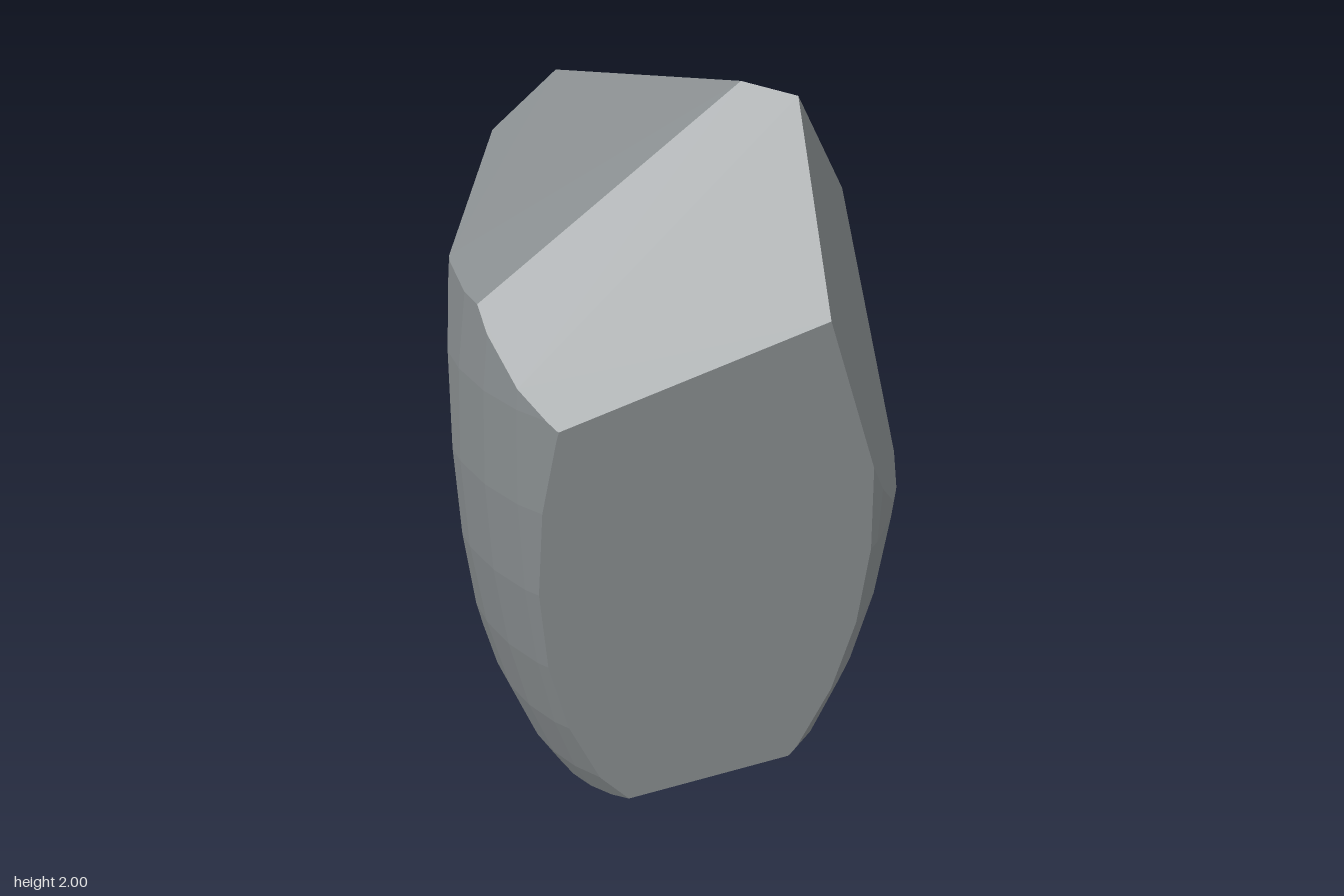
import * as THREE from 'three';

const V = (x, y, z) => new THREE.Vector3(x, y, z);

// Corners where the flat cuts of the boulder meet
const peak = V(0.10, 2.0, -0.07), peakRight = V(0.25, 1.98, -0.10);
const topLeft = V(-0.405, 1.89, -0.11), leftShoulder = V(-0.50, 1.775, 0.04);
const frontLeft = V(-0.445, 1.61, 0.335), frontMid = V(-0.04, 1.35, 0.555);
const rightShoulder = V(0.465, 1.58, 0.165), backRight = V(0.21, 1.54, -0.465);
const rightMid = V(0.545, 1.07, 0.03);
const backLeft = V(-0.26, 1.37, -0.56), leftBack = V(-0.545, 1.24, -0.32);
const leftFront = V(-0.41, 0.83, 0.43);
const baseFront = V(0.01, 0.02, 0.33), baseBackRight = V(0.265, 0.135, -0.31);
const baseBackLeft = V(-0.155, 0.105, -0.41);

// Each cut is a plane through three corners
const cuts = [
  [peakRight, rightShoulder, frontMid],      // top front, right half
  [topLeft, peak, frontLeft],                // top front, left half
  [topLeft, backRight, backLeft],            // top back
  [rightMid, rightShoulder, backRight],      // upper right
  [topLeft, leftShoulder, leftBack],         // upper left
  [leftShoulder, leftBack, leftFront],       // left side
  [frontMid, rightShoulder, baseFront],      // front right side
  [backRight, backLeft, baseBackRight],      // back
  [baseFront, baseBackRight, baseBackLeft],  // underside
];

// Faceted ellipsoid as a list of polygons wound counter-clockwise from outside
function ellipsoid(center, radius, height, segments, rings) {
  const point = (i, j) => {
    const a = (i / segments) * Math.PI * 2, b = (j / rings) * Math.PI;
    return V(
      center.x + radius * Math.sin(b) * Math.cos(a),
      center.y + height * Math.cos(b),
      center.z - radius * Math.sin(b) * Math.sin(a));
  };
  const faces = [];
  for (let j = 0; j < rings; j++) {
    for (let i = 0; i < segments; i++) {
      const face = [point(i, j), point(i, j + 1), point(i + 1, j + 1), point(i + 1, j)];
      if (j === 0) face.pop();
      if (j === rings - 1) face.splice(2, 1);
      faces.push(face);
    }
  }
  return faces;
}

// Slice off everything outside the plane and close the hole with one flat face
function slice(faces, plane) {
  const kept = [], rim = [];
  for (const face of faces) {
    const out = [];
    face.forEach((p, i) => {
      const q = face[(i + 1) % face.length];
      const dp = plane.distanceToPoint(p), dq = plane.distanceToPoint(q);
      if (dp <= 0) out.push(p);
      if ((dp <= 0) !== (dq <= 0)) {
        const cross = p.clone().lerp(q, dp / (dp - dq));
        out.push(cross);
        if (!rim.some((r) => r.distanceTo(cross) < 1e-5)) rim.push(cross);
      }
    });
    if (out.length > 2) kept.push(out);
  }
  if (rim.length > 2) {
    const mid = rim.reduce((s, p) => s.add(p), V(0, 0, 0)).divideScalar(rim.length);
    const u = rim[0].clone().sub(mid).normalize();
    const w = plane.normal.clone().cross(u);
    const angle = (p) => {
      const d = p.clone().sub(mid);
      return Math.atan2(d.dot(w), d.dot(u));
    };
    kept.push(rim.sort((a, b) => angle(a) - angle(b)));
  }
  return kept;
}

export function createModel() {
  const inside = V(0, 1, 0);
  let faces = ellipsoid(V(-0.045, 1.1, -0.025), 0.59, 1.38, 32, 16);
  for (const [a, b, c] of cuts) {
    const plane = new THREE.Plane().setFromCoplanarPoints(a, b, c);
    if (plane.distanceToPoint(inside) > 0) plane.negate();
    faces = slice(faces, plane);
  }

  // Fan each convex polygon into triangles
  const points = [];
  for (const f of faces) {
    for (let i = 1; i < f.length - 1; i++) points.push(f[0], f[i], f[i + 1]);
  }
  const geometry = new THREE.BufferGeometry().setFromPoints(points);
  geometry.computeVertexNormals();

  // Cool slate grey stone
  const boulder = new THREE.Mesh(
    geometry, new THREE.MeshStandardMaterial({ color: 0x868b8d, flatShading: true }));
  boulder.name = 'boulder';
  const group = new THREE.Group();
  group.name = 'rock';
  group.add(boulder);
  return group;
}
